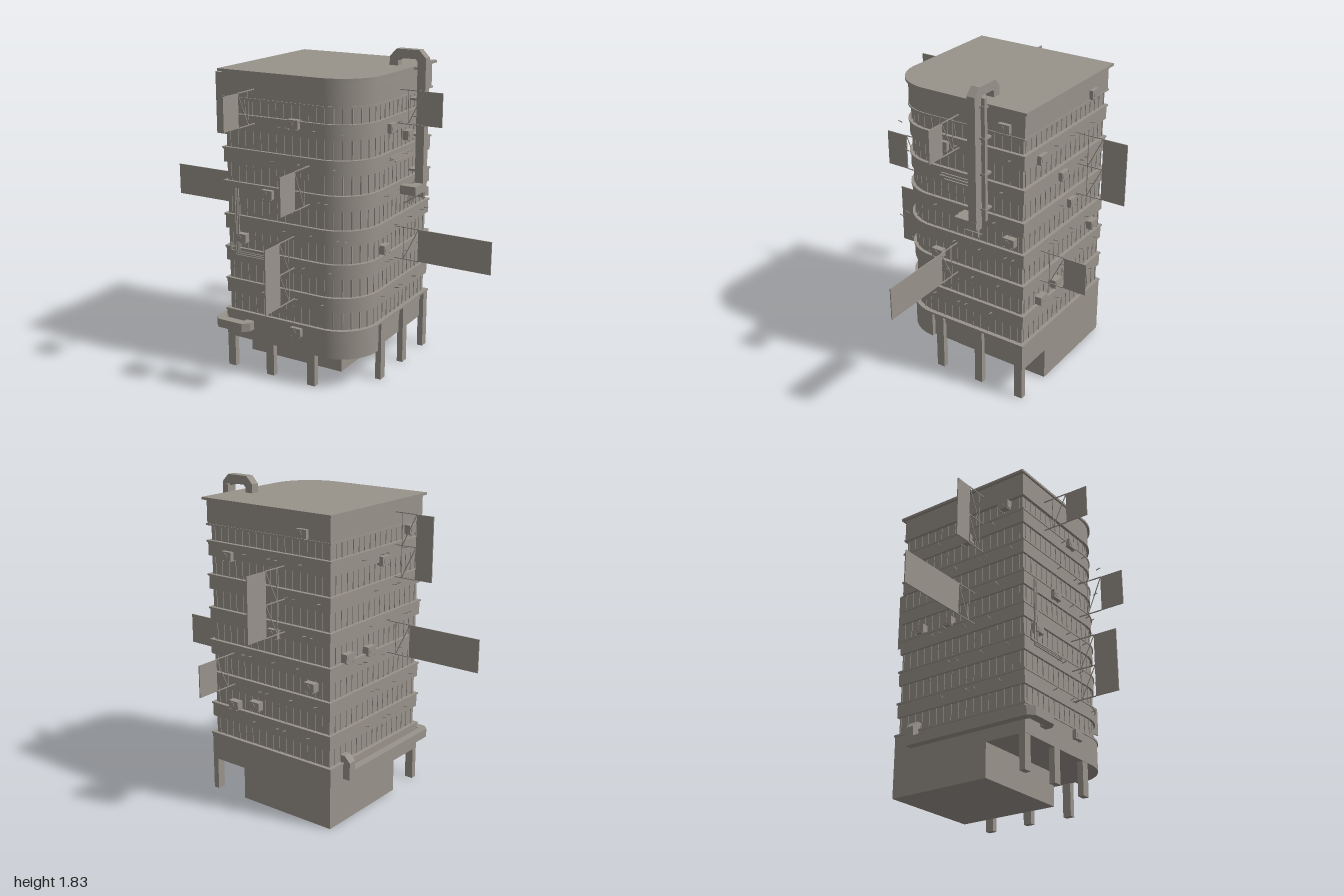
import * as THREE from 'three';
import { mergeGeometries, toCreasedNormals } from 'three/addons/utils/BufferGeometryUtils.js';

const concrete = new THREE.MeshStandardMaterial({ color: 0x98928a });
concrete.name = 'concrete grey';

// Each facade: outward turn and distance of the wall from the centre
const SIDES = {
  right: { turn: 0, wall: 0.425 },
  left: { turn: Math.PI, wall: 0.425 },
  front: { turn: -Math.PI / 2, wall: 0.435 },
  back: { turn: Math.PI / 2, wall: 0.42 },
};

// Floor plan with one rounded corner at +x +z (shape y is -z)
function plan(x0, x1, z0, z1, r) {
  const s = new THREE.Shape();
  s.moveTo(x0, -z0);
  s.lineTo(x0, -z1);
  s.lineTo(x1 - r, -z1);
  s.absarc(x1 - r, -(z1 - r), r, -Math.PI / 2, 0, false);
  s.lineTo(x1, -z0);
  s.closePath();
  return s;
}

function slabGeometry(shape, y0, y1) {
  const g = new THREE.ExtrudeGeometry(shape, { depth: y1 - y0, bevelEnabled: false, curveSegments: 14 });
  g.rotateX(-Math.PI / 2).translate(0, y0, 0);
  return toCreasedNormals(g, 0.5);
}

function boxGeometry(x0, x1, y0, y1, z0, z1) {
  return new THREE.BoxGeometry(x1 - x0, y1 - y0, z1 - z0)
    .translate((x0 + x1) / 2, (y0 + y1) / 2, (z0 + z1) / 2);
}

// Square bar between two points, lengthened at both ends by extra
function barGeometry(a, b, w, extra = 0) {
  const p = new THREE.Vector3(...a), q = new THREE.Vector3(...b);
  const o = new THREE.Object3D();
  o.position.copy(p).add(q).multiplyScalar(0.5);
  const d = q.clone().sub(p);
  if (Math.abs(d.y) > 0.999 * d.length()) o.rotation.x = Math.PI / 2;
  else o.lookAt(q);
  o.updateMatrix();
  return new THREE.BoxGeometry(w, w, d.length() + 2 * extra).applyMatrix4(o.matrix);
}

// Bars along a path; 45 degree bends close neatly
const pathBars = (pts, w) =>
  pts.slice(1).map((p, i) => barGeometry(pts[i], p, w, 0.207 * w));

export function createModel() {
  const model = new THREE.Group();
  model.name = 'officeTower';

  const add = (name, geometries, parent = model) => {
    const list = Array.isArray(geometries) ? geometries : [geometries];
    const mesh = new THREE.Mesh(list.length > 1 ? mergeGeometries(list) : list[0], concrete);
    mesh.name = name;
    parent.add(mesh);
    return mesh;
  };

  // Group whose local +x points out of a facade
  const mount = (name, side, along, y = 0) => {
    const { turn, wall } = SIDES[side];
    const g = new THREE.Group();
    g.name = name;
    g.rotation.y = turn;
    const s = side === 'right' || side === 'front' ? 1 : -1;
    if (side === 'right' || side === 'left') g.position.set(s * wall, y, along);
    else g.position.set(along, y, s * wall);
    model.add(g);
    return g;
  };

  // Ground floor block, first floor band and columns
  add('groundFloor', boxGeometry(-0.43, 0.19, 0, 0.19, -0.42, 0.195));
  const first = new THREE.Shape();
  first.moveTo(-0.43, 0.42);
  first.lineTo(-0.43, -0.435);
  first.lineTo(0.2, -0.435);
  first.absarc(0.2, -0.205, 0.23, -Math.PI / 2, 0, false);
  first.lineTo(0.43, -0.2);
  first.lineTo(0.405, -0.2);
  first.lineTo(0.405, 0.42);
  first.closePath();
  add('firstFloorBand', slabGeometry(first, 0.19, 0.345));
  add('firstFloorLedge', slabGeometry(plan(-0.435, 0.435, -0.425, 0.44, 0.235), 0.345, 0.356));
  for (const x of [-0.405, -0.14, 0.132])
    add('frontColumn', boxGeometry(x - 0.025, x + 0.025, 0, 0.192, 0.4, 0.434));
  for (const z of [0.145, -0.125, -0.395])
    add('sideColumn', boxGeometry(0.397, 0.432, 0, 0.346, z - 0.025, z + 0.025));

  // Recessed glazing core
  const corePlan = plan(-0.41, 0.41, -0.402, 0.42, 0.225);
  add('glazing', slabGeometry(corePlan, 0.3, 1.65));

  // Spandrel bands with thin ledges
  const pitch = 0.1905;
  for (let i = 0; i < 6; i++) {
    const y = 0.458 + i * pitch;
    add('spandrel', slabGeometry(plan(-0.424, 0.424, -0.418, 0.433, 0.235), y, y + 0.08));
    add('spandrelLedge', slabGeometry(plan(-0.43, 0.43, -0.424, 0.438, 0.24), y + 0.076, y + 0.086));
  }

  // Top band and roof
  add('parapetBand', slabGeometry(plan(-0.424, 0.424, -0.42, 0.433, 0.235), 1.588, 1.725));
  add('parapetSill', slabGeometry(plan(-0.43, 0.43, -0.424, 0.438, 0.24), 1.58, 1.59));
  add('roof', slabGeometry(plan(-0.443, 0.443, -0.44, 0.445, 0.25), 1.722, 1.736));

  // Window mullions follow the core outline
  const mullions = [];
  const outline = corePlan.getSpacedPoints(64);
  for (let i = 0; i < 7; i++) {
    const y0 = i === 0 ? 0.356 : 0.544 + (i - 1) * pitch;
    const y1 = i === 6 ? 1.58 : 0.458 + i * pitch;
    for (const p of outline)
      mullions.push(boxGeometry(p.x - 0.004, p.x + 0.004, y0, y1, -p.y - 0.004, -p.y + 0.004));
  }
  add('windowMullions', mullions);

  // Blade signs on thin brackets: side, position, inner and outer reach, bottom, top
  const signs = [
    ['left', 0.165, 0.56, 0.665, 1.305, 1.665],
    ['left', 0.11, 0.57, 1.0, 0.88, 1.065],
    ['right', -0.015, 0.57, 0.68, 1.445, 1.63],
    ['right', 0.012, 0.57, 1.0, 0.685, 0.87],
    ['front', -0.215, 0.58, 0.712, 1.455, 1.64],
    ['front', 0.13, 0.58, 0.718, 1.055, 1.265],
    ['front', 0.03, 0.58, 0.718, 0.5, 0.86],
    ['back', -0.12, 0.57, 0.715, 1.07, 1.43],
    ['back', 0.25, 0.565, 0.7, 0.69, 0.875],
  ];
  for (const [side, along, a, b, y0, y1] of signs) {
    const g = mount('bladeSign', side, along);
    const wall = SIDES[side].wall, i = a - wall, o = b - wall, m = i - 0.09;
    add('signPanel', boxGeometry(i, o, y0, y1, -0.003, 0.003), g);
    const steps = y1 - y0 > 0.3 ? 2 : 1, h = (y1 - y0) / steps, rods = [];
    for (let k = 0; k <= steps; k++) rods.push(barGeometry([-0.02, y0 + k * h, 0], [i, y0 + k * h, 0], 0.005));
    for (let k = 0; k < steps; k++)
      rods.push(barGeometry([m, y0 + k * h, 0], [i, y0 + (k + 1) * h, 0], 0.004));
    rods.push(barGeometry([m, y0, 0], [m, y1, 0], 0.004));
    add('signBracket', rods, g);
  }

  // Air conditioning units: side, position, height
  const units = [
    ['right', -0.305, 1.625], ['right', 0.085, 1.44], ['right', -0.12, 1.365],
    ['right', -0.335, 0.985], ['right', 0.14, 0.775],
    ['front', 0.04, 1.48], ['front', -0.13, 1.075], ['front', -0.31, 0.8], ['front', 0.045, 0.31],
    ['back', -0.25, 1.62], ['back', 0.27, 1.43], ['back', 0.05, 1.25], ['back', -0.05, 1.05],
    ['back', -0.3, 0.8], ['back', 0.245, 0.57], ['back', 0.09, 0.6],
    ['left', 0.31, 1.55], ['left', -0.27, 0.95], ['left', -0.07, 0.94], ['left', 0.05, 1.42],
  ];
  for (const [side, along, y] of units) {
    const g = mount('airConditioner', side, along, y);
    add('unitCase', boxGeometry(-0.02, 0.022, -0.024, 0.024, -0.034, 0.034), g);
    add('unitFan', new THREE.CylinderGeometry(0.016, 0.016, 0.004, 12)
      .rotateZ(Math.PI / 2).translate(0.023, 0, 0.01), g);
    add('unitBracket', [-0.025, 0.025].map(z => boxGeometry(-0.02, 0.025, -0.029, -0.024, z - 0.003, z + 0.003)), g);
  }

  // Large duct from the roof down the +x side
  add('roofDuct', pathBars([
    [0.325, 1.73, -0.16], [0.325, 1.775, -0.16], [0.352, 1.803, -0.16],
    [0.467, 1.803, -0.16], [0.494, 1.775, -0.16], [0.494, 1.06, -0.16],
  ], 0.05));
  add('ductFoot', [
    boxGeometry(0.47, 0.52, 1.04, 1.09, -0.185, -0.042),
    boxGeometry(0.41, 0.47, 1.04, 1.09, -0.092, -0.042),
  ]);
  add('ductStruts', [-0.11, -0.15].flatMap(z => [
    barGeometry([0.42, 0.97, z], [0.515, 1.035, z], 0.006),
    barGeometry([0.455, 0.97, z], [0.455, 1.045, z], 0.006),
  ]));
  add('downPipe', barGeometry([0.465, 1.09, -0.203], [0.465, 1.775, -0.203], 0.022));
  add('pipeClamps', [1.15, 1.35, 1.55, 1.72].map(y => boxGeometry(0.42, 0.48, y, y + 0.012, -0.216, -0.15)));

  // Low duct along the -x side, turning onto the front
  add('lowDuctRiser', pathBars([
    [-0.4, 0.372, -0.28], [-0.43, 0.372, -0.28], [-0.45, 0.352, -0.28], [-0.45, 0.285, -0.28],
  ], 0.05));
  add('lowDuct', pathBars([
    [-0.45, 0.284, -0.295], [-0.45, 0.284, 0.465], [-0.43, 0.485, 0.485].map((v, i) => (i === 1 ? 0.284 : v)),
    [-0.29, 0.284, 0.485], [-0.27, 0.284, 0.465], [-0.27, 0.284, 0.42],
  ], 0.05));

  // Bundled thin pipes on the front and the +x side
  const bundle = [];
  for (let k = 0; k < 3; k++) {
    const d = k * 0.011;
    bundle.push(...pathBars([[-0.347 + d, 1.08, 0.447], [-0.347 + d, 0.694 + d, 0.447], [-0.09, 0.694 + d, 0.447]], 0.007));
  }
  bundle.push(...pathBars([[-0.38, 0.76, 0.447], [-0.38, 0.715, 0.447], [-0.34, 0.715, 0.447]], 0.009));
  add('frontPipes', bundle);
  add('sidePipes', [0, 1, 2].map(k =>
    barGeometry([0.435 + k * 0.008, 1.275 - k * 0.012, 0.1 - k * 0.015], [0.435 + k * 0.008, 1.275 - k * 0.012, -0.14], 0.008)));

  // Small lamp arms scattered along the spandrels
  for (const side of Object.keys(SIDES)) {
    const arms = [];
    for (let i = 0; i < 6; i++)
      for (let k = 0; k < 4; k++) {
        const z = -0.36 + ((i * 5 + k * 7 + side.length * 3) % 23) * 0.024;
        const y = 0.5 + i * pitch;
        arms.push(barGeometry([0, y, z], [0.028, y + 0.006, z], 0.004));
      }
    add('lampArms', arms, mount('facadeLamps', side, 0));
  }
  return model;
}
